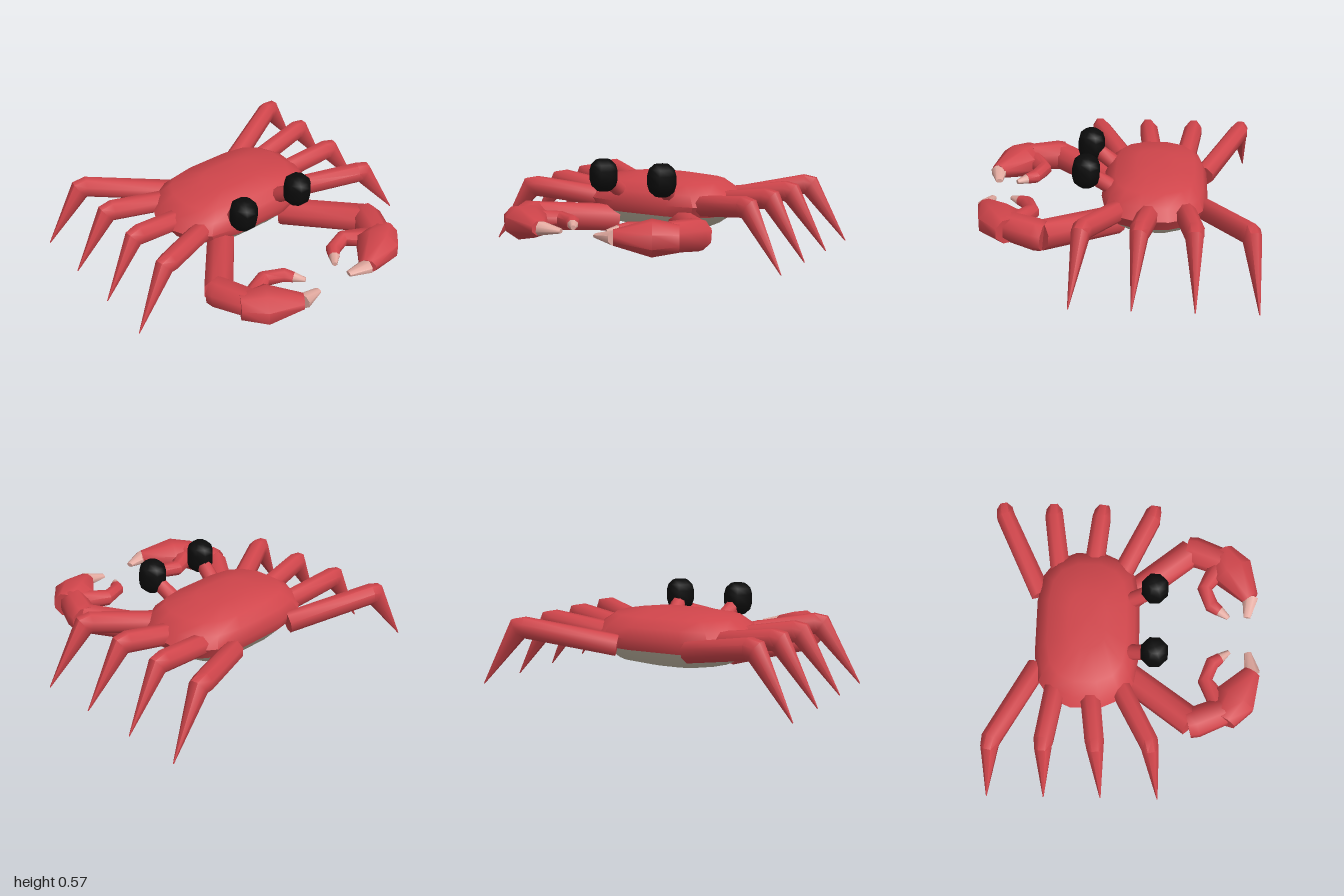
import * as THREE from 'three';
import { toCreasedNormals } from 'three/addons/utils/BufferGeometryUtils.js';

const material = (name, color) => {
  const m = new THREE.MeshStandardMaterial({ color });
  m.name = name;
  return m;
};

// Skins a list of rings (counter-clockwise about the direction of travel) and caps both ends.
function skin(rings, crease = 0.9) {
  const n = rings[0].length, pos = [], index = [];
  rings.forEach(ring => ring.forEach(p => pos.push(p.x, p.y, p.z)));
  const centres = [rings[0], rings[rings.length - 1]].map(ring => {
    const c = ring.reduce((sum, p) => sum.add(p), new THREE.Vector3()).divideScalar(n);
    return pos.push(c.x, c.y, c.z) / 3 - 1;
  });
  const last = (rings.length - 1) * n;
  for (let j = 0; j < n; j++) {
    const k = (j + 1) % n;
    for (let i = 0; i < last; i += n) {
      index.push(i + j, i + k, i + n + k, i + j, i + n + k, i + n + j);
    }
    index.push(centres[0], k, j, centres[1], last + j, last + k);
  }
  const g = new THREE.BufferGeometry();
  g.setAttribute('position', new THREE.Float32BufferAttribute(pos, 3));
  g.setIndex(index);
  return toCreasedNormals(g, crease);
}

// Tapered limb along points [x, y, z, width radius, height radius], mirrored by the side sign.
function limb(points, side, sides = 8) {
  const path = points.map(p => new THREE.Vector3(p[0] * side, p[1], p[2]));
  const dir = i => path[i + 1].clone().sub(path[i]).normalize();
  const up = new THREE.Vector3(0, 1, 0);
  const rings = path.map((p, i) => {
    const t = new THREE.Vector3();
    if (i > 0) t.add(dir(i - 1));
    if (i < path.length - 1) t.add(dir(i));
    t.normalize();
    const across = up.clone().cross(t).normalize();
    const over = t.clone().cross(across);
    const w = points[i][3], h = points[i][4] ?? w;
    return Array.from({ length: sides }, (_, j) => {
      const a = (j + 0.5) / sides * Math.PI * 2;
      return p.clone().addScaledVector(across, Math.cos(a) * w).addScaledVector(over, Math.sin(a) * h);
    });
  });
  return skin(rings);
}

// Body layers [height, scale] of one rounded-oblong outline.
function bodyLayers(layers) {
  const q = [[0.18, 0.32], [0.35, 0.29], [0.45, 0.22], [0.51, 0.09]];
  const half = [...q, ...q.map(([x, z]) => [x, -z]).reverse()];
  const outline = [...half, ...half.map(([x, z]) => [-x, -z])];
  return skin(layers.map(([y, s]) => outline.map(([x, z]) => new THREE.Vector3(x * s, y, z * s - 0.24))), 1.0);
}

export function createModel() {
  const red = material('shell red', 0xd0454b);
  const cream = material('belly cream', 0xc8bda9);
  const pink = material('claw tip pink', 0xe2aaa0);
  const black = material('eye black', 0x0b0b0b);

  const crab = new THREE.Group();
  crab.name = 'crab';
  const add = (parent, name, geometry, mat) => {
    const mesh = new THREE.Mesh(geometry, mat);
    mesh.name = name;
    parent.add(mesh);
    return mesh;
  };

  // Shell and belly
  add(crab, 'shell', bodyLayers([[0.23, 0.92], [0.3, 1], [0.365, 0.91], [0.42, 0.75], [0.45, 0.36]]), red);
  add(crab, 'belly', bodyLayers([[0.115, 0.36], [0.15, 0.7], [0.23, 0.92]]), cream);

  // Legs: root x, y, z, then knee z and tip z
  const legs = [
    [0.24, 0.255, -0.545, -0.785, -0.84],
    [0.38, 0.305, -0.425, -0.475, -0.49],
    [0.4, 0.305, -0.215, -0.175, -0.14],
    [0.34, 0.295, -0.05, 0.145, 0.21],
  ];

  // Eyeball: a lathed barrel with chamfered ends
  const eyeProfile = [[0, -0.096], [0.045, -0.096], [0.076, -0.068], [0.087, -0.03],
    [0.087, 0.03], [0.076, 0.068], [0.045, 0.096], [0, 0.096]].map(p => new THREE.Vector2(...p));
  const eyeGeometry = new THREE.LatheGeometry(eyeProfile, 8, Math.PI / 8);

  for (const side of [1, -1]) {
    const half = new THREE.Group();
    half.name = side > 0 ? 'leftLimbs' : 'rightLimbs';
    crab.add(half);

    legs.forEach(([x, y, z, kneeZ, tipZ], i) => {
      add(half, `leg${i + 1}`, limb([
        [x, y, z, 0.066],
        [0.725, 0.358, kneeZ, 0.062, 0.066],
        [0.768, 0.35, kneeZ + (tipZ - kneeZ) * 0.15, 0.054, 0.07],
        [0.998, 0.003, tipZ, 0.003],
      ], side), red);
    });

    // Claw arm
    add(half, 'upperArm', limb([[0.24, 0.175, -0.02, 0.088], [0.565, 0.225, 0.405, 0.09]], side), red);
    add(half, 'forearm', limb([[0.575, 0.225, 0.385, 0.09], [0.565, 0.23, 0.43, 0.096], [0.495, 0.24, 0.6, 0.088]], side), red);

    // Pincer with a fixed finger and a movable finger
    add(half, 'pincer', limb([
      [0.555, 0.24, 0.595, 0.085, 0.08],
      [0.425, 0.242, 0.67, 0.138, 0.106],
      [0.245, 0.245, 0.78, 0.055, 0.045],
    ], side), red);
    add(half, 'pincerTip', limb([[0.25, 0.245, 0.778, 0.053, 0.044], [0.117, 0.238, 0.756, 0.023, 0.014]], side), pink);
    add(half, 'finger', limb([
      [0.45, 0.24, 0.58, 0.07, 0.06],
      [0.305, 0.242, 0.49, 0.047, 0.05],
      [0.19, 0.242, 0.535, 0.046, 0.042],
      [0.155, 0.24, 0.585, 0.034, 0.032],
    ], side), red);
    add(half, 'fingerTip', limb([[0.157, 0.24, 0.582, 0.034, 0.032], [0.113, 0.236, 0.64, 0.015, 0.014]], side), pink);

    // Eye on its stalk
    add(half, 'eyeStalk', limb([[0.165, 0.345, 0.0, 0.05], [0.195, 0.44, 0.14, 0.046]], side), red);
    add(half, 'eye', eyeGeometry, black).position.set(0.205 * side, 0.473, 0.17);
  }
  return crab;
}
